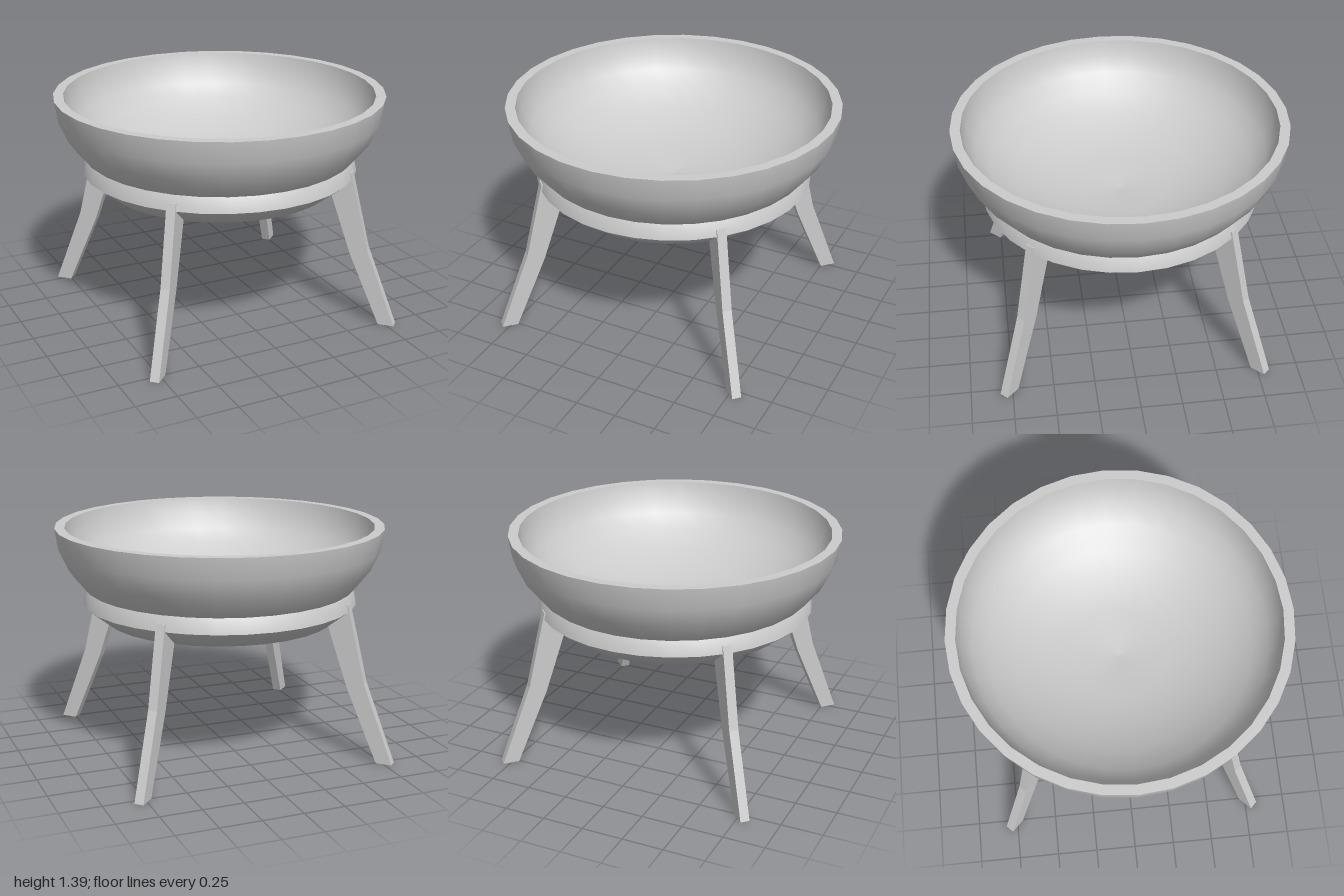
import * as THREE from 'three';

const SIDES = 32;
const RIM_Y = 1.39;
const material = new THREE.MeshStandardMaterial({ color: 0xcccccc });

function addMesh(parent, name, geometry) {
  const mesh = new THREE.Mesh(geometry, material);
  mesh.name = name;
  parent.add(mesh);
  return mesh;
}

// Smooth turned part from [radius, y] pairs; a doubled point makes a sharp edge
function turned(pairs) {
  return new THREE.LatheGeometry(pairs.map(([r, y]) => new THREE.Vector2(r, y)), SIDES);
}

// Flattened half-sphere profile hanging from the rim, centre first
function bowlProfile(radius, depth) {
  const steps = [0, 17.5, 30, 43, 56.25, 67.5, 78.75, 90];
  return steps.map((degrees) => {
    const a = THREE.MathUtils.degToRad(degrees);
    return [radius * Math.sin(a), RIM_Y - depth * Math.cos(a)];
  });
}

export function createModel() {
  const model = new THREE.Group();
  model.name = 'fireBowl';

  // Bowl with a flat rim and a shallower hollow, thicker towards the floor
  const outer = bowlProfile(1, 0.663);
  const inner = bowlProfile(0.94, 0.5).reverse();
  addMesh(model, 'bowl', turned([...outer, [1, RIM_Y], [0.94, RIM_Y], ...inner]));

  // Support ring under the bowl, its upper and inner edges sunk into the wall
  addMesh(model, 'supportRing', turned([
    [0.78, 1.03], [0.69, 0.94], [0.71, 0.817], [0.84, 0.92], [0.84, 0.92], [0.815, 1.03], [0.78, 1.03],
  ]));

  // Bent, splayed legs on the diagonals
  const thickness = 0.056;
  const outline = new THREE.Shape([
    [1.04, 0], [1.138, 0], [0.95, 0.49], [0.836, 0.965], [0.7, 0.965], [0.718, 0.82], [0.845, 0.45],
  ].map(([r, y]) => new THREE.Vector2(r, y)));
  const legGeometry = new THREE.ExtrudeGeometry(outline, { depth: thickness, bevelEnabled: false });
  legGeometry.translate(0, 0, -thickness / 2);
  const legNames = ['backLeftLeg', 'backRightLeg', 'frontRightLeg', 'frontLeftLeg'];
  legNames.forEach((name, i) => {
    addMesh(model, name, legGeometry).rotation.y = Math.PI / 4 + i * Math.PI / 2;
  });

  return model;
}
